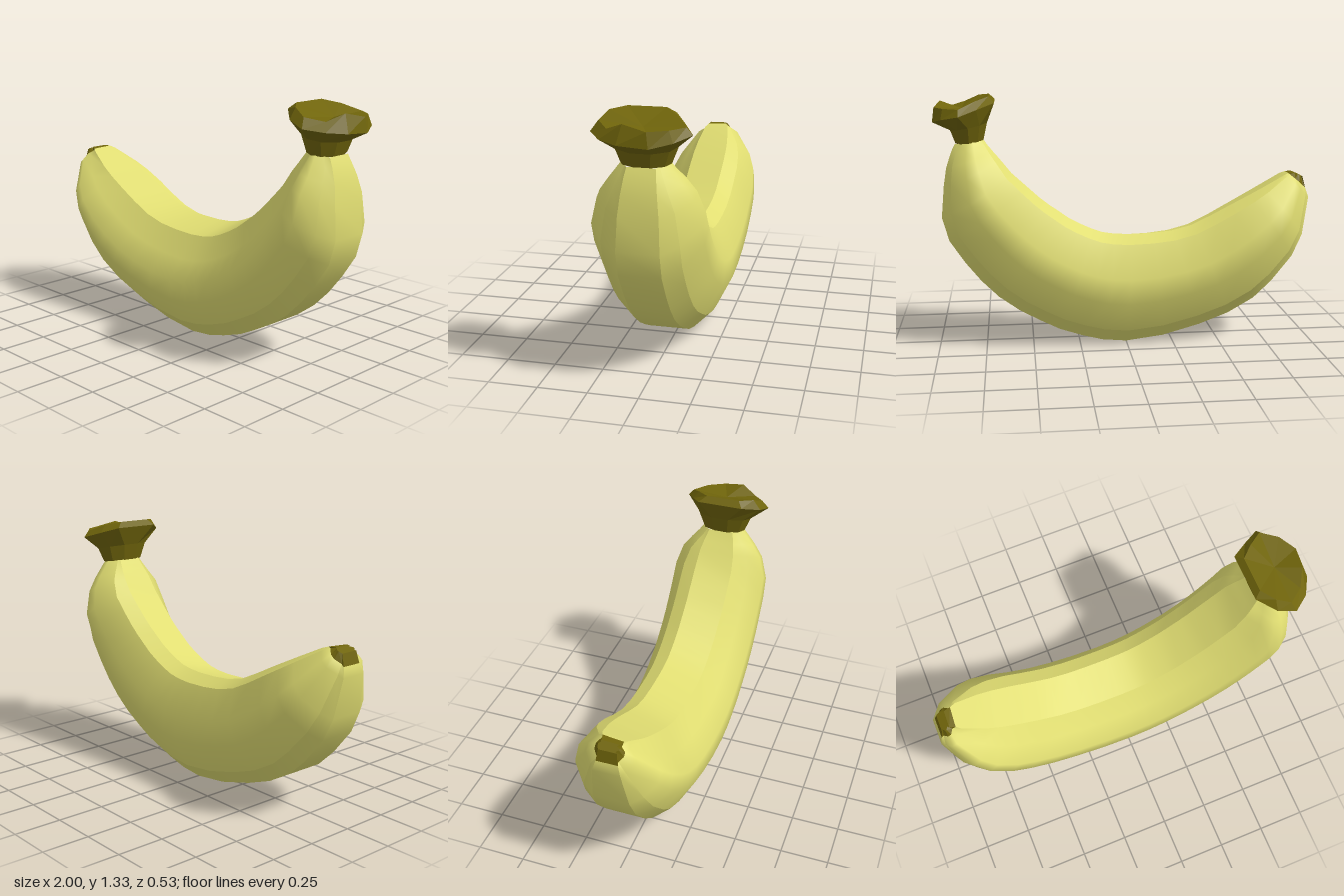
import * as THREE from 'three';

const peel = new THREE.MeshStandardMaterial({ color: 0xe1de72 });
peel.name = 'yellow peel';
const stalk = new THREE.MeshStandardMaterial({ color: 0x70650b, flatShading: true });
stalk.name = 'dark olive stalk';

// Cross-section: [fraction from outer to inner curve, half-width]; inner face tips to the front
const SECTION = [
  [0, -0.1], [0, 0.108], [0.14, 0.195], [0.37, 0.265], [0.55, 0.265], [0.72, 0.185],
  [0.92, 0.105], [1, -0.1], [0.93, -0.18], [0.64, -0.265], [0.42, -0.265], [0.14, -0.183],
];
// Runs of section points that share smooth normals; creases fall between runs
const RUNS = [[0, 1], [1, 2], [2, 3, 4, 5, 6], [6, 7], [7, 8], [8, 9, 10, 11], [11, 0]];

// Stations along the fruit: outer x, y, inner x, y, width factor
const TIP = [-0.97, 0.88, -0.925, 0.9, 0.2];
const BODY = [
  [-0.985, 0.82, -0.89, 0.9, 0.28],
  [-1, 0.77, -0.86, 0.89, 0.46],
  [-0.965, 0.567, -0.74, 0.83, 0.81],
  [-0.91, 0.45, -0.66, 0.79, 0.94],
  [-0.8, 0.315, -0.56, 0.74, 1],
  [-0.7, 0.22, -0.46, 0.688, 1],
  [-0.56, 0.14, -0.35, 0.636, 1],
  [-0.4, 0.08, -0.24, 0.608, 1],
  [-0.2, 0.025, -0.13, 0.598, 1],
  [0, 0, -0.01, 0.595, 1],
  [0.13, 0.012, 0.07, 0.6, 1],
  [0.24, 0.04, 0.13, 0.61, 1],
  [0.36, 0.08, 0.19, 0.632, 1],
  [0.46, 0.13, 0.25, 0.66, 1],
  [0.57, 0.19, 0.305, 0.69, 1],
  [0.68, 0.27, 0.36, 0.73, 1],
  [0.77, 0.36, 0.41, 0.765, 1],
  [0.85, 0.46, 0.46, 0.805, 1],
  [0.93, 0.58, 0.53, 0.87, 1],
  [0.965, 0.705, 0.6, 0.935, 0.99],
  [0.95, 0.87, 0.66, 1.01, 0.86],
  [0.935, 0.965, 0.695, 1.05, 0.68],
  [0.91, 1.04, 0.72, 1.08, 0.53],
  [0.887, 1.087, 0.74, 1.105, 0.43],
];

function sectionPoint([ox, oy, ix, iy, w], k) {
  const [t, z] = SECTION[k];
  const flat = Math.abs(z) < 0.11;
  return [ox + (ix - ox) * t, oy + (iy - oy) * t, z * (flat ? Math.sqrt(w) : w)];
}

function makeGeometry(positions, index) {
  const g = new THREE.BufferGeometry();
  g.setAttribute('position', new THREE.Float32BufferAttribute(positions, 3));
  g.setIndex(index);
  g.computeVertexNormals();
  return g;
}

// Skin the stations run by run; optionally close the first end
function loft(stations, closeStart) {
  const pos = [], index = [];
  for (const run of RUNS) {
    const base = pos.length / 3, n = run.length;
    for (const s of stations) for (const k of run) pos.push(...sectionPoint(s, k));
    for (let s = 0; s < stations.length - 1; s++) {
      for (let j = 0; j < n - 1; j++) {
        const a = base + s * n + j, b = a + 1, c = b + n, d = a + n;
        index.push(a, d, c, a, c, b);
      }
    }
  }
  if (closeStart) {
    const base = pos.length / 3;
    for (let k = 0; k < 12; k++) pos.push(...sectionPoint(stations[0], k));
    for (let k = 1; k < 11; k++) index.push(base, base + k, base + k + 1);
  }
  return makeGeometry(pos, index);
}

// Oval neck ring of the stalk, tilted along x
const SIDES = 10;
function neckRing(cx, cy, rx, rz, slope) {
  return Array.from({ length: SIDES }, (_, i) => {
    const a = ((i - 0.5) / SIDES) * Math.PI * 2;
    const dx = rx * Math.cos(a);
    return [cx + dx, cy + dx * slope, rz * Math.sin(a)];
  });
}

// Ragged cut end: lower lip and upper edge
const LIP = [
  [1, 1.2, -0.06], [1, 1.21, 0.085], [0.945, 1.22, 0.18], [0.86, 1.235, 0.245], [0.765, 1.265, 0.22],
  [0.68, 1.3, 0.135], [0.68, 1.3, -0.115], [0.77, 1.27, -0.175], [0.86, 1.24, -0.23], [0.95, 1.22, -0.16],
];
const EDGE = [
  [0.99, 1.275, -0.05], [0.965, 1.3, 0.065], [0.92, 1.265, 0.15], [0.84, 1.285, 0.21], [0.765, 1.32, 0.18],
  [0.71, 1.33, 0.11], [0.71, 1.33, -0.075], [0.78, 1.31, -0.14], [0.86, 1.275, -0.2], [0.94, 1.275, -0.14],
];

function stalkGeometry() {
  const rings = [
    neckRing(0.813, 1.094, 0.076, 0.122, -0.12),
    neckRing(0.815, 1.175, 0.1, 0.155, -0.2),
    LIP,
    EDGE,
  ];
  const pos = rings.flat(2), index = [];
  for (let r = 0; r < rings.length - 1; r++) {
    for (let i = 0; i < SIDES; i++) {
      const a = r * SIDES + i, b = r * SIDES + (i + 1) % SIDES;
      index.push(a, a + SIDES, b, b, a + SIDES, b + SIDES);
    }
  }
  // Dished top
  const top = (rings.length - 1) * SIDES, centre = pos.length / 3;
  pos.push(0.85, 1.265, 0);
  for (let i = 0; i < SIDES; i++) index.push(centre, top + (i + 1) % SIDES, top + i);
  return makeGeometry(pos, index);
}

export function createModel() {
  const group = new THREE.Group();
  group.name = 'banana';
  const add = (name, geometry, material) => {
    const mesh = new THREE.Mesh(geometry, material);
    mesh.name = name;
    group.add(mesh);
  };
  add('peel', loft(BODY, false), peel);
  add('blossomTip', loft([TIP, BODY[0]], true), stalk);
  add('stalk', stalkGeometry(), stalk);
  return group;
}
